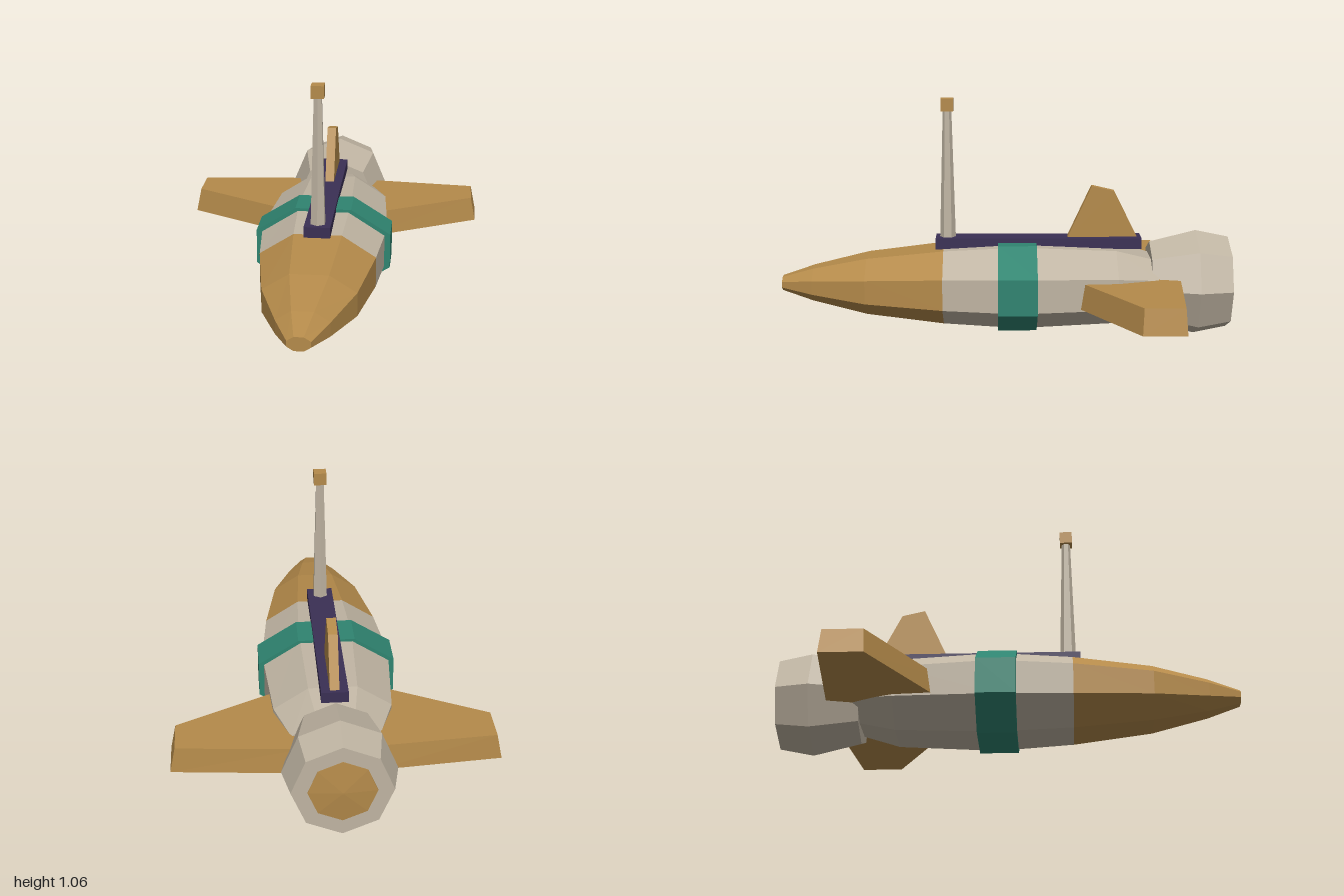
import * as THREE from 'three';

const material = (name, color) => {
  const m = new THREE.MeshStandardMaterial({ color, flatShading: true });
  m.name = name;
  return m;
};

// Octagonal ring at depth z; w and h are half width and half height of its flats.
function octagon(z, w, h, cy = 0.24, turn = Math.PI / 8) {
  const k = 1 / Math.cos(turn);
  return Array.from({ length: 8 }, (_, i) => {
    const a = turn + (i * Math.PI) / 4;
    return [w * k * Math.cos(a), cy + h * k * Math.sin(a), z];
  });
}

// Skin between rings. The first ring runs counter-clockwise seen from its own end.
function loft(rings) {
  const pos = [];
  const n = rings[0].length;
  const tri = (...pts) => pts.forEach((p) => pos.push(...p));
  const centre = (r) => [0, 1, 2].map((k) => r.reduce((s, p) => s + p[k], 0) / n);
  const first = rings[0], last = rings[rings.length - 1];
  const c0 = centre(first), c1 = centre(last);
  for (let i = 0; i < n; i++) {
    const j = (i + 1) % n;
    for (let r = 0; r + 1 < rings.length; r++) {
      const a = rings[r], b = rings[r + 1];
      tri(a[i], b[i], a[j]);
      tri(a[j], b[i], b[j]);
    }
    tri(c0, first[i], first[j]);
    tri(c1, last[j], last[i]);
  }
  const g = new THREE.BufferGeometry();
  g.setAttribute('position', new THREE.Float32BufferAttribute(pos, 3));
  g.computeVertexNormals();
  return g;
}

export function createModel() {
  const ochre = material('ochre', 0xb48a4a);
  const hull = material('hull grey', 0xbfb4a2);
  const teal = material('teal', 0x2f8470);
  const violet = material('dark violet', 0x3a2f54);

  const group = new THREE.Group();
  const add = (name, geometry, mat, x = 0, y = 0, z = 0) => {
    const mesh = new THREE.Mesh(geometry, mat);
    mesh.name = name;
    mesh.position.set(x, y, z);
    group.add(mesh);
  };
  const body = (list) => loft(list.map((s) => octagon(...s)));

  // Fuselage: nose, main body and the band round its middle
  add('nose', body([[1, 0.048, 0.03], [0.86, 0.11, 0.073], [0.62, 0.197, 0.125], [0.28, 0.252, 0.163]]), ochre);
  add('fuselage', body([[0.28, 0.252, 0.163], [-0.05, 0.283, 0.182], [-0.48, 0.25, 0.163], [-0.66, 0.185, 0.115]]), hull);
  add('band', body([[0.04, 0.3, 0.19], [-0.13, 0.3, 0.19]]), teal);

  // Engine with corners at top and bottom, and a shallow glowing cone
  add('engine', loft([[-0.635, 0.185], [-0.84, 0.236], [-0.985, 0.206]]
    .map(([z, r]) => octagon(z, r, r, 0.24, 0))), hull);
  add('exhaust', loft([octagon(-0.98, 0.14, 0.14, 0.24, 0), octagon(-0.987, 0.14, 0.14, 0.24, 0),
    octagon(-1, 0.004, 0.004, 0.24, 0)]), ochre);

  // Wings: top ring, then slightly larger bottom ring
  const top = [[0.15, 0.29, -0.275], [0.66, 0.29, -0.547], [0.66, 0.29, -0.715], [0.15, 0.29, -0.758]];
  const bottom = [[0.15, 0.18, -0.257], [0.682, 0.18, -0.54], [0.682, 0.18, -0.722], [0.15, 0.18, -0.77]];
  const mirror = (ring) => ring.map(([x, y, z]) => [-x, y, z]).reverse();
  add('leftWing', loft([top, bottom]), ochre);
  add('rightWing', loft([mirror(top), mirror(bottom)]), ochre);

  // Spine rail with tail fin
  add('spineRail', new THREE.BoxGeometry(0.114, 0.048, 0.91), violet, 0, 0.426, -0.14);
  const fx = 0.02;
  add('tailFin', loft([
    [[-fx, 0.678, -0.375], [fx, 0.678, -0.375], [fx, 0.655, -0.475], [-fx, 0.655, -0.475]],
    [[-fx, 0.44, -0.265], [fx, 0.44, -0.265], [fx, 0.44, -0.582], [-fx, 0.44, -0.582]],
  ]), ochre);

  // Mast and its cube
  add('mast', new THREE.CylinderGeometry(0.019, 0.035, 0.57, 6), hull, 0, 0.73, 0.262);
  add('mastCube', new THREE.BoxGeometry(0.055, 0.055, 0.055), ochre, 0, 1.038, 0.262);

  return group;
}
